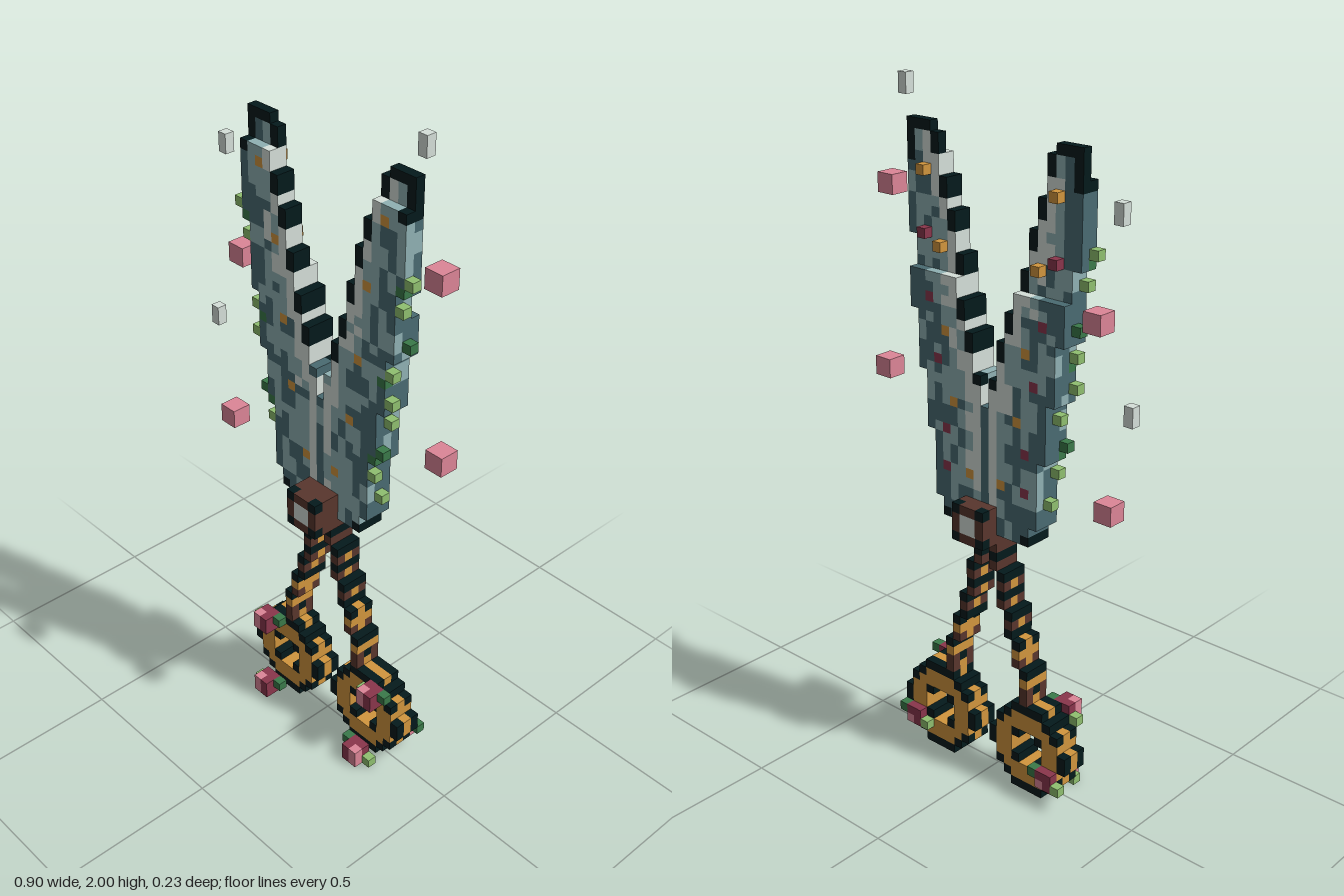
import * as THREE from 'three';
import { mergeGeometries } from 'three/addons/utils/BufferGeometryUtils.js';

const W = 2 / 70, H = 2 / 71; // width and height of one cell
const COLORS = {
  ink: 0x041a1c, teal: 0x4a6b72, steel: 0x90b2b4, silver: 0xd6e0da, brown: 0x59362d,
  ochre: 0xd2963e, pink: 0xdd8698, maroon: 0x8a364c, leaf: 0x90c070, fern: 0x3a7a4a,
};

// Seeded noise for the brushed steel pattern
function noise(a, b, c) {
  let h = Math.imul(a + 31, 374761393) ^ Math.imul(b + 17, 668265263) ^ Math.imul(c + 7, 974711);
  h = Math.imul(h ^ (h >>> 13), 1274126177);
  return ((h ^ (h >>> 16)) >>> 0) / 4294967296;
}

// The six sides of a cell: neighbour direction and a plane facing that way
const SIDES = [
  [[0, 0, 1], 0, 0], [[0, 0, -1], 0, Math.PI], [[1, 0, 0], 0, Math.PI / 2],
  [[-1, 0, 0], 0, -Math.PI / 2], [[0, 1, 0], -Math.PI / 2, 0], [[0, -1, 0], Math.PI / 2, 0],
].map(([dir, rx, ry]) => {
  const plane = new THREE.PlaneGeometry(1, 1).rotateX(rx).rotateY(ry);
  return { dir, plane: plane.translate(...dir.map((d) => d / 2)).scale(W, H, W) };
});

// Blade outline, in columns from the centre
const heightOf = (row) => (row + 0.5) * H;
const innerEdge = (row) => Math.max(0, Math.round(1 + (heightOf(row) - 1.2) / 0.1));
function outerEdge(row) {
  const y = heightOf(row);
  return 5 + [0.85, 1.05, 1.22, 1.39, 1.57].filter((limit) => y > limit).length;
}

const RIVETS = [[8, 62], [6, 55], [5, 47], [4, 40], [2, 33]];
const BERRIES = [[8, 56], [7, 50], [6, 44], [5, 37], [5, 33]];
const LEAVES = [57, 54, 50, 47, 44, 41, 38, 35, 32];

function bladeColor(k, row, layer, side) {
  const inner = innerEdge(row), outer = outerEdge(row);
  if (layer !== -1 && RIVETS.some(([c, r]) => c === k && r === row)) return 'ochre';
  if (layer === -2 && BERRIES.some(([c, r]) => c === k && r === row)) return 'maroon';
  if (row === 66) return 'ink';
  if (row === 28 && k === 5) return 'ink';
  const n = noise(k * side, Math.floor(row / 2), layer);
  // Stepped cutting edge: dark on top of each step, bright below
  if (inner > 1 && k === inner) return innerEdge(row + 2) > k ? 'ink' : 'silver';
  if (k === 1 && row === 43) return layer === -2 ? 'ink' : side > 0 ? 'steel' : 'teal';
  if (k === 1 && row > 34) return 'silver';
  if (k === 0) return n < 0.7 ? 'teal' : 'steel';
  // Stems beside some of the leaves
  if (k === outer && layer === 0 && LEAVES.indexOf(row + 1) % 3 === 0) return 'fern';
  if (k === outer) return row > 62 ? 'ink' : n < 0.78 ? 'teal' : 'steel';
  if (k === inner + 1) return n < 0.6 ? 'silver' : 'steel';
  if (k === outer - 1) return n < 0.6 ? 'teal' : 'steel';
  if (k === inner + 2) return n < 0.7 ? 'steel' : n < 0.85 ? 'silver' : 'teal';
  return n < 0.5 ? 'steel' : 'teal';
}

export function createModel() {
  const model = new THREE.Group();
  const materials = {};
  for (const [name, color] of Object.entries(COLORS)) {
    materials[name] = new THREE.MeshStandardMaterial({ color });
    materials[name].name = name;
  }

  // Cells by position; layer 0 spans z = 0..W, layer -1 lies behind it
  const cells = new Map();
  const put = (part, color, x, y, z) => cells.set([x, y, z].join(), { part, color, at: [x, y, z] });

  for (const side of [1, -1]) {
    const label = side > 0 ? 'left' : 'right';

    // Blade: three layers, the front and back ones ending lower
    [[-1, 66], [0, 63], [-2, 52]].forEach(([layer, top]) => {
      for (let row = 28; row <= top; row++) {
        for (let k = innerEdge(row); k <= outerEdge(row); k++) {
          if (k === 0 && (side < 0 || row > 40)) continue;
          put(label + 'Blade', bladeColor(k, row, layer, side), side * k, row, layer);
        }
      }
    });

    // Rivets and berries standing out on the thin upper back
    RIVETS.slice(0, 2).forEach(([k, row]) => put(label + 'Rivets', 'ochre', side * k, row, -2));
    put(label + 'Berries', 'maroon', side * 8, 56, -2);

    // Leaves along the outer edge
    LEAVES.forEach((row, i) => {
      const color = i % 4 === 2 ? 'fern' : 'leaf';
      put(label + 'Leaves', color, side * (outerEdge(row) + 1), row, i % 3 === 2 ? -1 : 0);
    });

    // Stepped shank: dark at the ends of each step, ochre bands low down
    const column = (row) => Math.max(1, Math.min(5, Math.round(1 + (24.7 - row) / 3.2)));
    for (let row = 10; row <= 27; row++) {
      const stepEnd = row < 24 && column(row + 1) !== column(row) || row % 4 === 1;
      for (const layer of [0, -1, -2]) {
        let color = stepEnd ? 'ink' : 'brown';
        if (layer === -1 && row < 24) color = row % 2 ? 'ink' : 'ochre';
        if (row === 15 || row === 12) color = 'ochre';
        put(label + 'Shank', color, side * column(row), row, layer);
      }
    }

    // Finger ring with dark studs round the rim, centred half a cell off the grid
    const cx = side > 0 ? 6.5 : -5.5;
    for (let i = -4.5; i <= 4.5; i++) {
      for (let j = -4.5; j <= 4.5; j++) {
        const r = Math.hypot(i, j), short = Math.min(Math.abs(i), Math.abs(j));
        const notch = Math.abs(i) === 1.5 && Math.abs(j) === 1.5;
        if (r > 4.8 || r < 2.3 && !notch) continue;
        if (Math.abs(i) === 4.5 && short > 1) continue;
        for (const layer of [0, -1, -2]) {
          const stud = r > 4.2 && (layer !== -1 || Math.abs(j) === 3.5);
          put(label + 'Ring', stud || notch ? 'ink' : 'ochre', cx + i, 4.5 + j, layer);
        }
      }
    }
  }

  // Pivot bolt with ink corners and silver heads
  for (let x = -1; x <= 2; x++) {
    for (let y = 27; y <= 30; y++) {
      for (let z = -4; z <= 3; z++) {
        const edgeX = x === -1 || x === 2, edgeY = y === 27 || y === 30, end = z === -4 || z === 3;
        const color = !end ? 'brown' : edgeX && edgeY ? 'ink' : edgeX || edgeY ? 'brown' : 'silver';
        put('pivot', color, x, y, z);
      }
    }
  }

  // Flowers on the rings: petals two cells wide, a pink heart, a leaf on each side
  function flower(x, y, z, leafSide) {
    for (const dx of [0, 1]) {
      for (const dy of [0, 1]) {
        for (const dz of [0, 1]) {
          const pink = dz === 1 && dx === (leafSide > 0 ? 1 : 0);
          put('flowers', pink ? 'pink' : 'maroon', x + dx, y + dy, z + dz);
        }
      }
    }
    put('flowers', 'leaf', leafSide > 0 ? x + 2 : x - 1, y, z);
    put('flowers', 'fern', leafSide > 0 ? x - 1 : x + 2, y + 1, z);
  }
  flower(-8, 8, 1, -1);
  flower(8, 8, 1, -1);
  flower(-7, 0, 2, -1);
  flower(7, 0, 2, 1);
  for (const x of [-9, 9]) {
    for (const dx of [0, 1]) {
      put('flowers', 'maroon', x + dx, 3, -3);
      put('flowers', dx ? 'pink' : 'maroon', x + dx, 2, -3);
    }
    put('flowers', 'leaf', x - 1, 2, -3);
    put('flowers', 'fern', x + 2, 3, -3);
  }

  // Collect the uncovered cell sides by part and colour
  const parts = {};
  for (const { part, color, at } of cells.values()) {
    for (const { dir, plane } of SIDES) {
      if (cells.has(at.map((a, i) => a + dir[i]).join())) continue;
      const face = plane.clone().translate(at[0] * W, heightOf(at[1]), (at[2] + 0.5) * W);
      ((parts[part] ??= {})[color] ??= []).push(face);
    }
  }
  for (const [part, colors] of Object.entries(parts)) {
    const group = new THREE.Group();
    group.name = part;
    for (const [color, faces] of Object.entries(colors)) {
      const mesh = new THREE.Mesh(mergeGeometries(faces), materials[color]);
      mesh.name = part + ' ' + color;
      group.add(mesh);
    }
    model.add(group);
  }

  // Petals and sparks floating around the blades
  function floating(name, color, width, x, y, z) {
    const mesh = new THREE.Mesh(new THREE.BoxGeometry(width, 2 * H, width), materials[color]);
    mesh.position.set(x, y, z);
    mesh.name = name;
    model.add(mesh);
  }
  [[0.42, 1.685, W], [0.42, 1.16, 0], [-0.335, 1.455, 0], [-0.363, 0.932, W]]
    .forEach((p) => floating('petal', 'pink', 2 * W, ...p));
  [[0.315, 2 - H, -W / 2], [-0.41, 1.745, -W / 2], [-0.437, 1.225, W / 2]]
    .forEach((p) => floating('spark', 'silver', W, ...p));

  return model;
}
